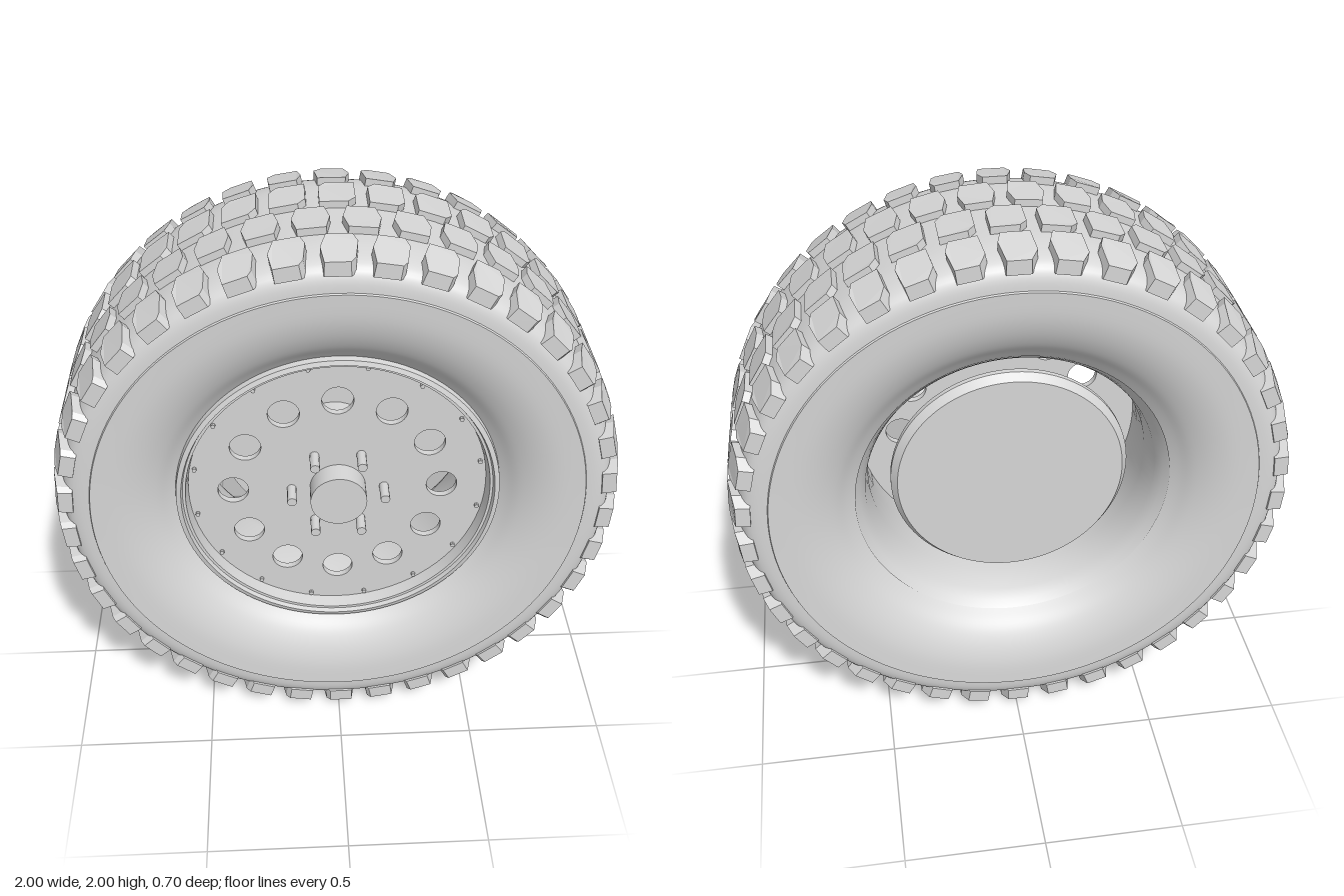
import * as THREE from 'three';
import { toCreasedNormals } from 'three/addons/utils/BufferGeometryUtils.js';

const grey = new THREE.MeshStandardMaterial({ color: 0xd6d6d6, side: THREE.DoubleSide });
grey.name = 'grey';

const BLOCKS = 38;

function add(parent, name, geometry) {
  const mesh = new THREE.Mesh(geometry, grey);
  mesh.name = name;
  parent.add(mesh);
  return mesh;
}

// Surface of revolution about the z axle; points are [radius, z]
function revolve(points) {
  const g = new THREE.LatheGeometry(points.map(p => new THREE.Vector2(p[0], p[1])), 128);
  g.rotateX(Math.PI / 2);
  return toCreasedNormals(g, 0.5);
}

// Disc or pin along z, with its middle at the given position
function pin(radius, depth, sides, x, y, z) {
  const g = new THREE.CylinderGeometry(radius, radius, depth, sides);
  g.rotateX(Math.PI / 2);
  g.translate(x, y, z);
  return toCreasedNormals(g, 0.6);
}

function smooth(points, count) {
  return new THREE.SplineCurve(points.map(p => new THREE.Vector2(p[0], p[1])))
    .getPoints(count).map(v => [v.x, v.y]);
}

// Crown of the tread falls away toward the shoulders
function treadRadius(z) {
  return 1 - Math.max(0, Math.abs(z) - 0.17) ** 2;
}

// Prism whose outline [around, across] is wrapped onto the tread
function blockGeometry(outline) {
  const shape = new THREE.Shape(outline.map(p => new THREE.Vector2(p[0], p[1])));
  const g = new THREE.ExtrudeGeometry(shape, { depth: 1, bevelEnabled: false });
  const pos = g.attributes.position;
  for (let i = 0; i < pos.count; i++) {
    const u = pos.getX(i), z = pos.getY(i), top = pos.getZ(i) > 0.5;
    const r = top ? treadRadius(z) : 0.92;
    const a = top ? -u : -u * 1.08;
    // Mirroring the angle keeps the faces turned outward
    pos.setXYZ(i, -r * Math.sin(a), r * Math.cos(a), z);
  }
  // Wrapping reverses handedness, so swap two corners of every face
  for (let i = 0; i < pos.count; i += 3) {
    const b = new THREE.Vector3().fromBufferAttribute(pos, i + 1);
    const c = new THREE.Vector3().fromBufferAttribute(pos, i + 2);
    pos.setXYZ(i + 1, c.x, c.y, c.z);
    pos.setXYZ(i + 2, b.x, b.y, b.z);
  }
  g.computeVertexNormals();
  return g;
}

function makeTyre() {
  const tyre = new THREE.Group();
  tyre.name = 'tyre';

  // Carcass: dished sidewall, small step, rounded shoulder, then mirrored
  const sidewall = smooth([[0.56, 0.235], [0.595, 0.262], [0.64, 0.298], [0.7, 0.328],
    [0.77, 0.346], [0.86, 0.352]], 20);
  const shoulder = smooth([[0.863, 0.345], [0.9, 0.341], [0.933, 0.326], [0.953, 0.295],
    [0.965, 0.25], [0.973, 0.19], [0.975, 0.08]], 16);
  const front = [...sidewall, ...shoulder];
  const back = front.map(([r, z]) => [r, -z]);
  add(tyre, 'carcass', revolve([...back, ...front.reverse()]));

  // Four rows of tread blocks
  const rows = [
    { name: 'frontShoulderBlock', phase: 0, outline: [[-0.04, 0.21], [0.045, 0.21], [0.06, 0.25],
      [0.05, 0.325], [0.035, 0.343], [-0.05, 0.343], [-0.06, 0.275]] },
    { name: 'frontCentreBlock', phase: 0.5, outline: [[-0.046, 0.018], [0.046, 0.018], [0.062, 0.09],
      [0.048, 0.165], [-0.046, 0.165], [-0.062, 0.09]] },
    { name: 'backCentreBlock', phase: 0.06, outline: [[-0.06, -0.018], [0.035, -0.018], [0.06, -0.05],
      [0.06, -0.165], [-0.035, -0.165], [-0.06, -0.135]] },
    { name: 'backShoulderBlock', phase: 0, outline: [[-0.05, -0.205], [0.045, -0.205], [0.06, -0.255],
      [0.045, -0.343], [-0.035, -0.343], [-0.06, -0.3]] }
  ];
  for (const row of rows) {
    // Outlines are listed in either direction, so unify them first
    const flip = THREE.ShapeUtils.isClockWise(row.outline.map(p => new THREE.Vector2(p[0], p[1])));
    const geometry = blockGeometry(flip ? row.outline.slice().reverse() : row.outline);
    for (let i = 0; i < BLOCKS; i++) {
      add(tyre, row.name, geometry).rotation.z = -(i + row.phase) / BLOCKS * Math.PI * 2;
    }
  }
  return tyre;
}

function makeRim() {
  const rim = new THREE.Group();
  rim.name = 'rim';

  // Barrel with a stepped front lip and a flared back edge
  add(rim, 'barrel', revolve([[0.575, 0.245], [0.572, 0.27], [0.555, 0.275], [0.55, 0.258], [0.54, 0.258],
    [0.535, 0.225], [0.53, 0.19], [0.515, 0.06], [0.51, -0.08], [0.525, -0.18],
    [0.545, -0.22], [0.565, -0.245]]));

  // Wheel face with a ring of round holes
  const face = new THREE.Shape().absarc(0, 0, 0.532, 0, Math.PI * 2);
  for (let i = 0; i < 12; i++) {
    const a = i * Math.PI / 6;
    face.holes.push(new THREE.Path().absarc(0.373 * Math.cos(a), 0.373 * Math.sin(a), 0.055, 0, Math.PI * 2, true));
  }
  const plate = new THREE.ExtrudeGeometry(face, { depth: 0.025, bevelEnabled: false, curveSegments: 40 });
  plate.translate(0, 0, 0.185);
  add(rim, 'wheelFace', toCreasedNormals(plate, 0.5));

  // Hub cap, wheel nuts and edge bolts
  add(rim, 'hubCap', pin(0.1, 0.1, 48, 0, 0, 0.245));
  for (let i = 0; i < 6; i++) {
    const a = i * Math.PI / 3;
    add(rim, 'wheelNut', pin(0.017, 0.09, 12, 0.165 * Math.cos(a), 0.165 * Math.sin(a), 0.245));
  }
  for (let i = 0; i < 16; i++) {
    const a = (i + 0.5) * Math.PI / 8;
    add(rim, 'edgeBolt', pin(0.008, 0.02, 8, 0.515 * Math.cos(a), 0.515 * Math.sin(a), 0.212));
  }

  // Brake drum behind the face, carried on the hub
  add(rim, 'brakeDrum', revolve([[0, -0.16], [0.41, -0.16], [0.432, -0.13], [0.432, -0.11], [0, -0.11]]));
  add(rim, 'hub', pin(0.15, 0.3, 32, 0, 0, 0.04));
  return rim;
}

export function createModel() {
  const wheel = new THREE.Group();
  wheel.name = 'wheel';
  wheel.add(makeTyre(), makeRim());
  wheel.position.y = 1;
  const model = new THREE.Group();
  model.name = 'offRoadWheel';
  model.add(wheel);
  return model;
}
